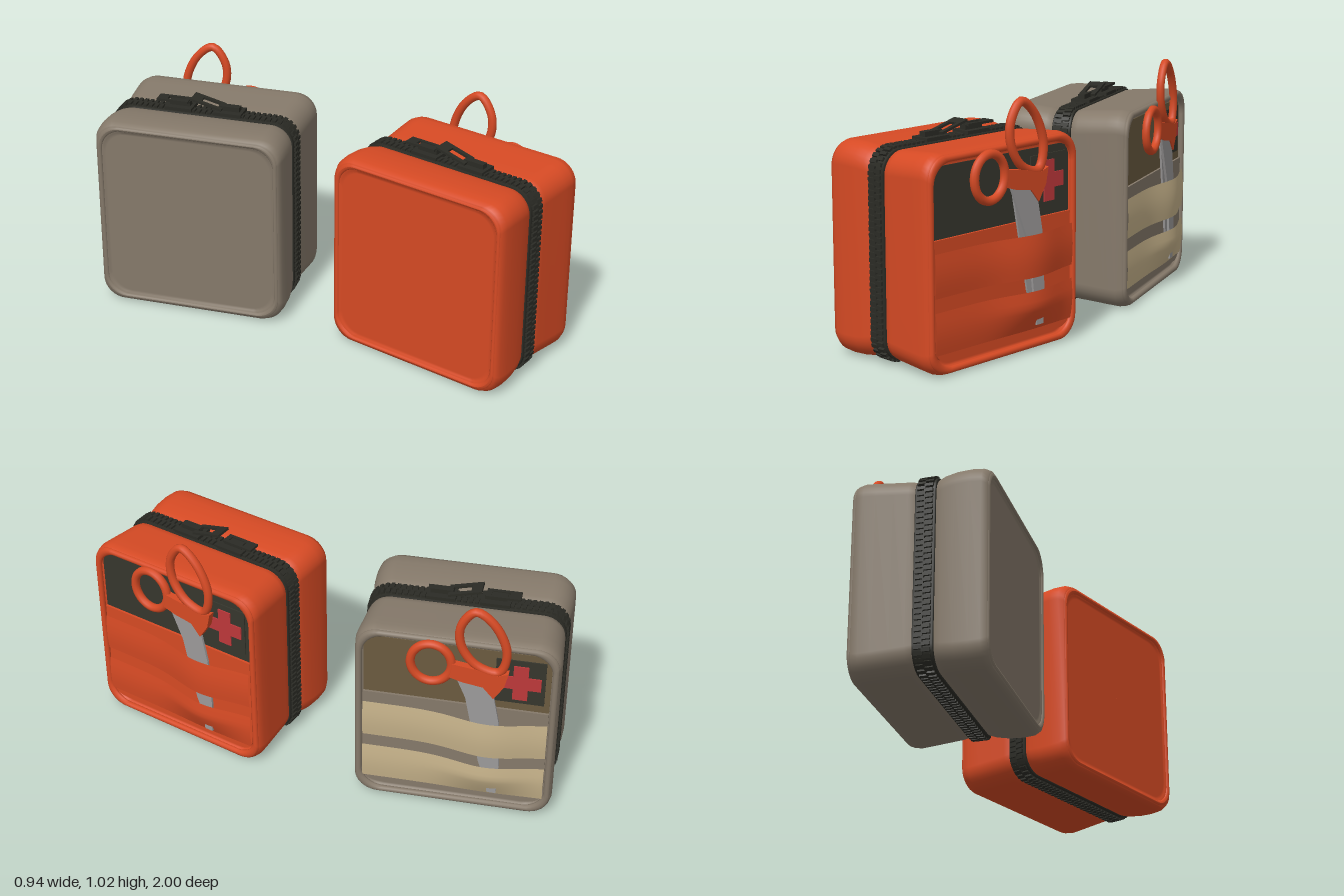
import * as THREE from 'three';
import { mergeGeometries } from 'three/addons/utils/BufferGeometryUtils.js';

const mat = (name, color, side = THREE.FrontSide) =>
  Object.assign(new THREE.MeshStandardMaterial({ color, side }), { name });
const orange = mat('orange', 0xd64a24, THREE.DoubleSide);
const taupe = mat('taupe', 0x85796a);
const beige = mat('beige', 0xc6b28a, THREE.DoubleSide);
const black = mat('black', 0x2b2b25);
const charcoal = mat('charcoal', 0x36362d);
const brown = mat('brown', 0x6b5b40);
const red = mat('red', 0xbd383a);
const steel = mat('steel', 0x9c9a9a);

const MID_Y = 0.428;

// Rounded-square outline, counter-clockwise, slightly taller than wide
function outline(half, radius = 0.09) {
  const r = Math.min(radius, half), pts = [], steps = 8;
  for (let c = 0; c < 4; c++) {
    const sx = c === 0 || c === 3 ? 1 : -1, sy = c < 2 ? 1 : -1;
    for (let i = 0; i <= steps; i++) {
      const a = (c + i / steps) * Math.PI / 2;
      pts.push(new THREE.Vector2(
        sx * (half - r) + r * Math.cos(a),
        MID_Y + sy * (half * 1.03 - r) + r * Math.sin(a)));
    }
  }
  return pts;
}

// Skin through outlines; each station is [depth, half size, corner radius]
function loft(stations) {
  const pos = [], index = [];
  let n = 0;
  stations.forEach(([w, half, r]) => {
    const pts = outline(half, r);
    n = pts.length;
    pts.forEach(p => pos.push(p.x, p.y, w));
  });
  for (let i = 0; i < stations.length - 1; i++) {
    for (let j = 0; j < n; j++) {
      const k = (j + 1) % n, a = i * n + j, b = i * n + k;
      index.push(a, b, b + n, a, b + n, a + n);
    }
  }
  const g = new THREE.BufferGeometry();
  g.setAttribute('position', new THREE.Float32BufferAttribute(pos, 3));
  g.setIndex(index);
  g.computeVertexNormals();
  return g;
}

// Round cord following the outline
function piping(w, half, r) {
  const s = [];
  for (let i = 0; i <= 10; i++) {
    const a = i / 10 * Math.PI * 2;
    s.push([w - r * Math.cos(a), half + r * Math.sin(a), 0.09]);
  }
  return loft(s);
}

function add(parent, name, geometry, material, x = 0, y = 0, z = 0) {
  const m = new THREE.Mesh(geometry, material);
  m.name = name;
  m.position.set(x, y, z);
  parent.add(m);
  return m;
}

const polygon = pts => new THREE.Shape(pts.map(p => new THREE.Vector2(...p)));
const plate = (shape, depth) => new THREE.ExtrudeGeometry(shape, { depth, bevelEnabled: false, curveSegments: 8 });

// Flat panel with separately rounded top and bottom corners
function panel(half, y0, y1, rBottom, rTop) {
  const s = new THREE.Shape();
  s.moveTo(-half + rBottom, y0);
  s.lineTo(half - rBottom, y0);
  s.quadraticCurveTo(half, y0, half, y0 + rBottom);
  s.lineTo(half, y1 - rTop);
  s.quadraticCurveTo(half, y1, half - rTop, y1);
  s.lineTo(-half + rTop, y1);
  s.quadraticCurveTo(-half, y1, -half, y1 - rTop);
  s.lineTo(-half, y0 + rBottom);
  s.quadraticCurveTo(-half, y0, -half + rBottom, y0);
  return s;
}

// Elastic strap bulging over the blades; taper flattens its lower edge
function strap(y0, y1, taper) {
  const g = new THREE.PlaneGeometry(0.75, y1 - y0, 40, 8);
  const p = g.attributes.position;
  for (let i = 0; i < p.count; i++) {
    const x = p.getX(i), t = p.getY(i) / (y1 - y0) + 0.5;
    const bulge = Math.exp(-(((x - 0.14) / 0.17) ** 2));
    const fall = taper ? Math.min(1, 0.15 + t * 1.4) : 1;
    p.setXYZ(i, x, y0 + t * (y1 - y0), 0.289 + 0.046 * bulge * fall + 0.006 * Math.sin(Math.PI * t));
  }
  g.computeVertexNormals();
  return g;
}

function zipper() {
  const zip = new THREE.Group();
  zip.name = 'zipper';
  add(zip, 'zipperTape', loft([[-0.042, 0.38], [-0.042, 0.398], [-0.038, 0.401],
    [0.038, 0.401], [0.042, 0.398], [0.042, 0.38]]), black);
  // Two staggered rows of teeth
  const teeth = [], count = 130;
  const path = new THREE.Path().setFromPoints([...outline(0.403), outline(0.403)[0]]);
  const pts = path.getSpacedPoints(count * 2);
  for (let i = 0; i < count * 2; i++) {
    const a = pts[i], b = pts[i + 1];
    const g = new THREE.BoxGeometry(0.015, 0.014, 0.034);
    g.rotateZ(Math.atan2(b.y - a.y, b.x - a.x));
    g.translate(a.x, a.y, i % 2 ? 0.015 : -0.015);
    teeth.push(g);
  }
  add(zip, 'zipperTeeth', mergeGeometries(teeth), black);
  // Sliders and pull tabs on the top
  [-0.11, 0.11].forEach(x => {
    add(zip, 'slider', new THREE.BoxGeometry(0.12, 0.014, 0.085), black, x, 0.852, 0);
    add(zip, 'sliderBridge', new THREE.BoxGeometry(0.09, 0.022, 0.03), black, x, 0.868, 0);
  });
  const frame = polygon([[0, -0.036], [0.14, -0.036], [0.14, 0.036], [0, 0.036]]);
  frame.holes.push(polygon([[0.02, -0.018], [0.02, 0.018], [0.095, 0.018], [0.095, -0.018]]));
  const tab = plate(frame, 0.01).rotateX(-Math.PI / 2);
  add(zip, 'raisedPullTab', tab, black, -0.08, 0.862, 0).rotation.z = 0.25;
  add(zip, 'flatPullTab', tab, black, 0.07, 0.874, 0).scale.z = 0.75;
  return zip;
}

function scissors() {
  const s = new THREE.Group();
  s.name = 'scissors';
  const loop = pts => new THREE.TubeGeometry(
    new THREE.CatmullRomCurve3(pts.map(([x, y]) => new THREE.Vector3(x, y, 0.305)), true), 48, 0.018, 10, true);
  add(s, 'largeFingerLoop', loop([[0.07, 1.003], [0.014, 0.93], [0.018, 0.834], [0.08, 0.749],
    [0.17, 0.728], [0.197, 0.823], [0.145, 0.95]]), orange);
  const small = [];
  for (let i = 0; i < 12; i++) {
    const a = i / 12 * Math.PI * 2;
    small.push([-0.1 + 0.082 * Math.cos(a), 0.733 + 0.09 * Math.sin(a)]);
  }
  add(s, 'smallFingerLoop', loop(small), orange);
  add(s, 'handleJoint', plate(polygon([[-0.025, 0.685], [0.03, 0.668], [0.112, 0.655], [0.155, 0.604],
    [0.195, 0.668], [0.21, 0.735], [0.17, 0.72], [0.08, 0.738], [-0.02, 0.752]]), 0.03), orange, 0, 0, 0.292);
  // Crossed blades tucked under the straps
  add(s, 'rearBlade', plate(polygon([[0.02, 0.69], [0.107, 0.257], [0.155, 0.11], [0.17, 0.11],
    [0.17, 0.48], [0.13, 0.69]].reverse()), 0.009), steel, 0, 0, 0.296);
  add(s, 'frontBlade', plate(polygon([[0.005, 0.68], [0.11, 0.43], [0.15, 0.11], [0.187, 0.11],
    [0.193, 0.257], [0.182, 0.48], [0.144, 0.67]]), 0.01), steel, 0, 0, 0.306);
  return s;
}

// One kit pouch, front facing +z
function pouch(name, body, strapMat, windowMat) {
  const g = new THREE.Group();
  g.name = name;
  add(g, 'caseBody', loft([
    [-0.243, 0.001], [-0.243, 0.36], [-0.243, 0.37], [-0.255, 0.385], [-0.248, 0.4], [-0.225, 0.409],
    [-0.18, 0.412], [-0.12, 0.41], [-0.07, 0.403], [-0.045, 0.396], [-0.03, 0.385], [0.03, 0.385],
    [0.045, 0.396], [0.07, 0.4], [0.13, 0.404], [0.2, 0.409], [0.25, 0.412], [0.278, 0.408],
    [0.293, 0.398], [0.293, 0.387], [0.272, 0.38], [0.272, 0.37], [0.272, 0.001]]), body);
  add(g, 'frontPiping', piping(0.285, 0.392, 0.013), body);
  add(g, 'backPiping', piping(-0.246, 0.386, 0.01), body);
  g.add(zipper());
  // Front: window above, pocket with straps below
  add(g, 'window', plate(panel(0.375, 0.5, 0.805, 0.001, 0.06), 0.004), windowMat, 0, 0, 0.271);
  add(g, 'pocket', plate(panel(0.375, 0.06, 0.53, 0.07, 0.001), 0.014), body, 0, 0, 0.271);
  add(g, 'upperStrap', strap(0.31, 0.48, false), strapMat);
  add(g, 'lowerStrap', strap(0.09, 0.255, true), strapMat);
  add(g, 'patch', plate(polygon([[0.155, 0.567], [0.353, 0.567], [0.353, 0.775], [0.155, 0.775]]), 0.006),
    charcoal, 0, 0, 0.274);
  const a = 0.03, b = 0.082;
  add(g, 'cross', plate(polygon([[-a, -b], [a, -b], [a, -a], [b, -a], [b, a], [a, a],
    [a, b], [-a, b], [-a, a], [-b, a], [-b, -a], [-a, -a]]), 0.006), red, 0.255, 0.668, 0.279);
  g.add(scissors());
  return g;
}

export function createModel() {
  const model = new THREE.Group();
  model.name = 'firstAidPouches';
  const first = pouch('orangePouch', orange, orange, charcoal);
  first.position.set(0.135, 0, 0.588);
  first.rotation.y = Math.PI / 2;
  const second = pouch('taupePouch', taupe, beige, brown);
  second.position.set(-0.09, 0, -0.515);
  second.rotation.y = Math.PI / 2 + 0.367;
  model.add(first, second);
  return model;
}
